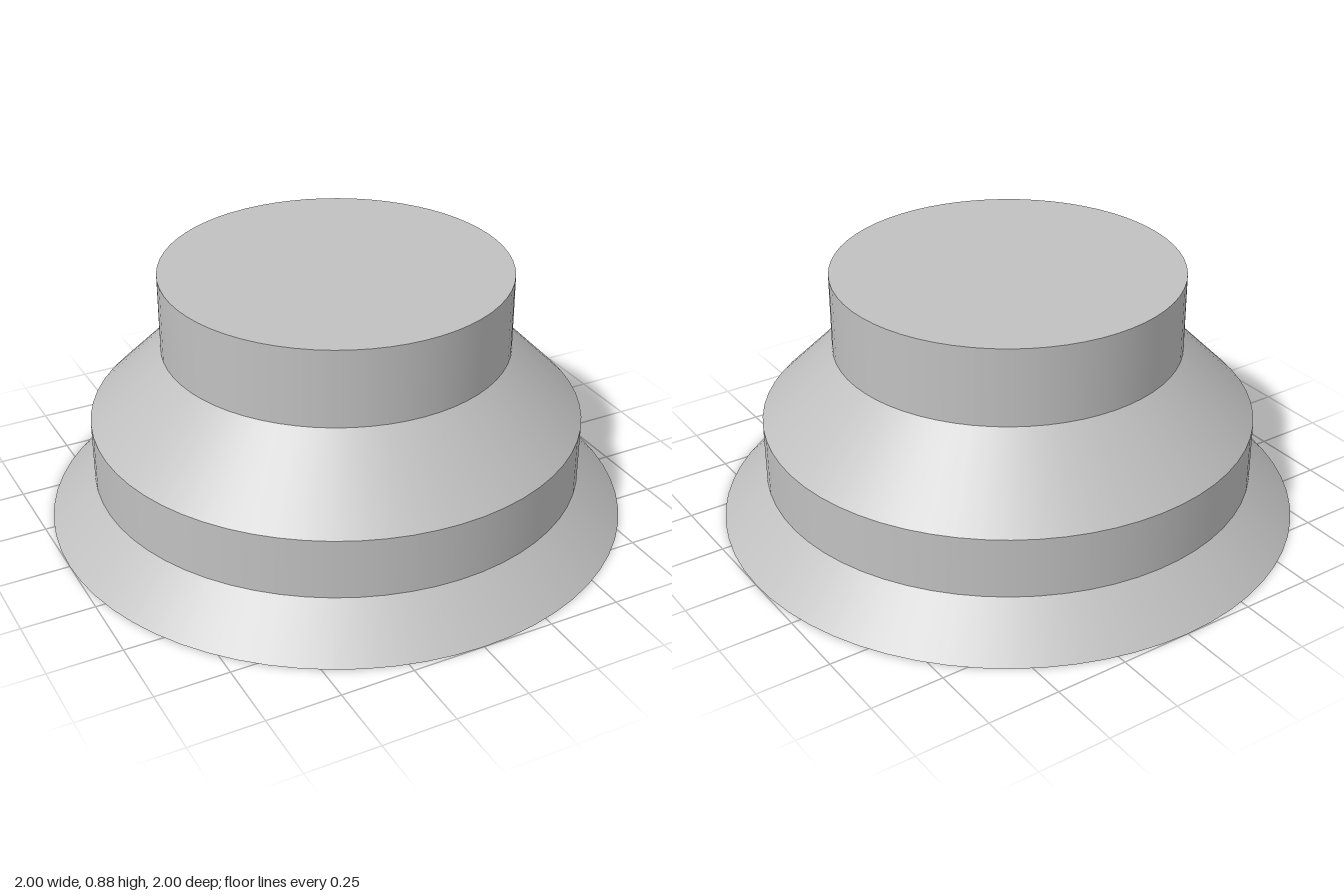
import * as THREE from 'three';

const SEGMENTS = 64;

export function createModel() {
  const model = new THREE.Group();
  model.name = 'steppedKnob';
  const grey = new THREE.MeshStandardMaterial({ color: 0xc0c0c0 });
  grey.name = 'light grey';

  // Stacked bands, bottom to top: name, lower radius, upper radius, lower y, upper y
  const bands = [
    ['flaredFoot', 1, 0.845, 0, 0.155],
    ['lowerBand', 0.845, 0.845, 0.155, 0.365],
    ['slopedShoulder', 0.845, 0.595, 0.365, 0.615],
    ['topCollar', 0.595, 0.595, 0.615, 0.885],
  ];
  for (const [name, r0, r1, y0, y1] of bands) {
    const band = new THREE.Mesh(new THREE.CylinderGeometry(r1, r0, y1 - y0, SEGMENTS, 1, true), grey);
    band.name = name;
    band.position.y = (y0 + y1) / 2;
    model.add(band);
  }

  // Flat discs closing the top and the underside
  const addDisc = (name, radius, y, tilt) => {
    const disc = new THREE.Mesh(new THREE.CircleGeometry(radius, SEGMENTS), grey);
    disc.name = name;
    disc.rotation.x = tilt;
    disc.position.y = y;
    model.add(disc);
  };
  addDisc('topFace', 0.595, 0.885, -Math.PI / 2);
  addDisc('baseFace', 1, 0, Math.PI / 2);

  return model;
}
